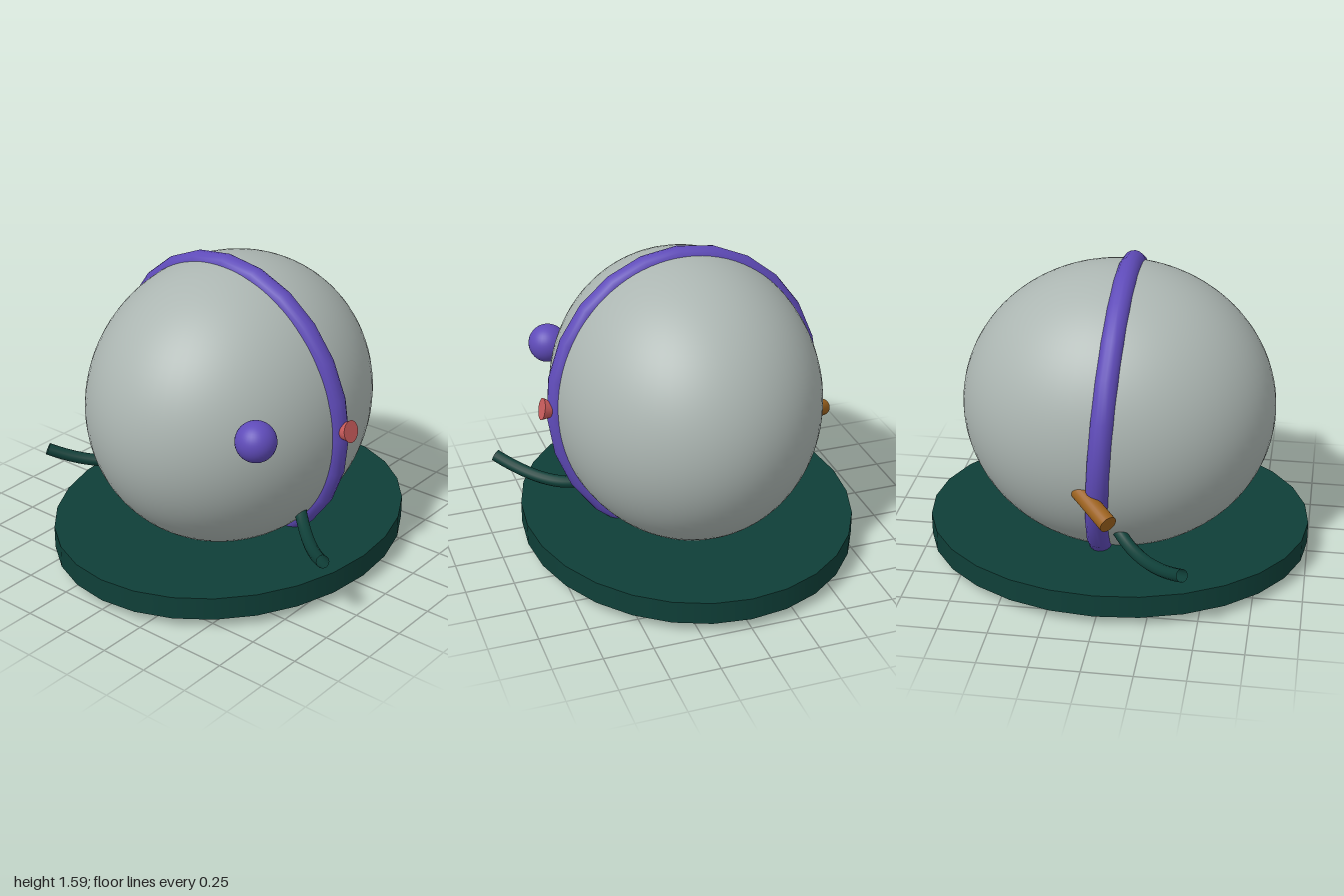
import * as THREE from 'three';

function material(name, color, side = THREE.FrontSide) {
  const m = new THREE.MeshStandardMaterial({ color, side });
  m.name = name;
  return m;
}

export function createModel() {
  const group = new THREE.Group();
  const grey = material('pale grey', 0xacb6b2);
  const green = material('dark green', 0x0f3f38, THREE.DoubleSide);
  const purple = material('purple', 0x5f4bb9);
  const pink = material('coral', 0xcb5c5c);
  const orange = material('amber brown', 0x9c621e);

  const add = (name, geometry, mat, x = 0, y = 0, z = 0) => {
    const mesh = new THREE.Mesh(geometry, mat);
    mesh.name = name;
    mesh.position.set(x, y, z);
    group.add(mesh);
    return mesh;
  };
  // Cylinder running from point a (radius ra) to point b (radius rb)
  const rod = (name, a, b, ra, rb, mat) => {
    const dir = b.clone().sub(a);
    const mid = a.clone().add(b).multiplyScalar(0.5);
    const mesh = add(name, new THREE.CylinderGeometry(rb, ra, dir.length(), 24), mat, mid.x, mid.y, mid.z);
    mesh.quaternion.setFromUnitVectors(new THREE.Vector3(0, 1, 0), dir.normalize());
  };
  const v = (x, y, z) => new THREE.Vector3(x, y, z);

  // Egg-shaped body
  add('body', new THREE.SphereGeometry(1, 64, 48), grey, 0, 0.81, 0).scale.set(0.69, 0.75, 0.805);

  // Oval base plate
  add('base', new THREE.CylinderGeometry(1, 1, 0.118, 28), green, 0, 0.12, 0).scale.set(0.862, 1, 1);

  // Band around the body, leaning slightly forward
  const band = add('band', new THREE.TorusGeometry(0.739, 0.058, 16, 24), purple, 0, 0.803, 0);
  band.scale.x = 0.92;
  band.rotation.set(0.068, 0, -0.022);

  // Round ball on the left front side
  add('ball', new THREE.SphereGeometry(0.101, 32, 24), purple, 0.585, 0.94, 0.53);

  // Flared button on the band and peg on the opposite side
  rod('button', v(0.67, 0.818, 0), v(0.757, 0.84, 0), 0.025, 0.056, pink);
  rod('peg', v(-0.60, 0.635, -0.13), v(-0.805, 0.55, 0.065), 0.045, 0.045, orange);

  // Mirrored curved arms
  for (const s of [1, -1]) {
    const path = new THREE.QuadraticBezierCurve3(
      v(s * 0.5, 0.36, 0.06), v(s * 0.66, 0.22, 0.205), v(s * 0.92, 0.37, 0.435));
    add(s > 0 ? 'leftArm' : 'rightArm', new THREE.TubeGeometry(path, 20, 0.032, 12), green);
  }
  return group;
}
